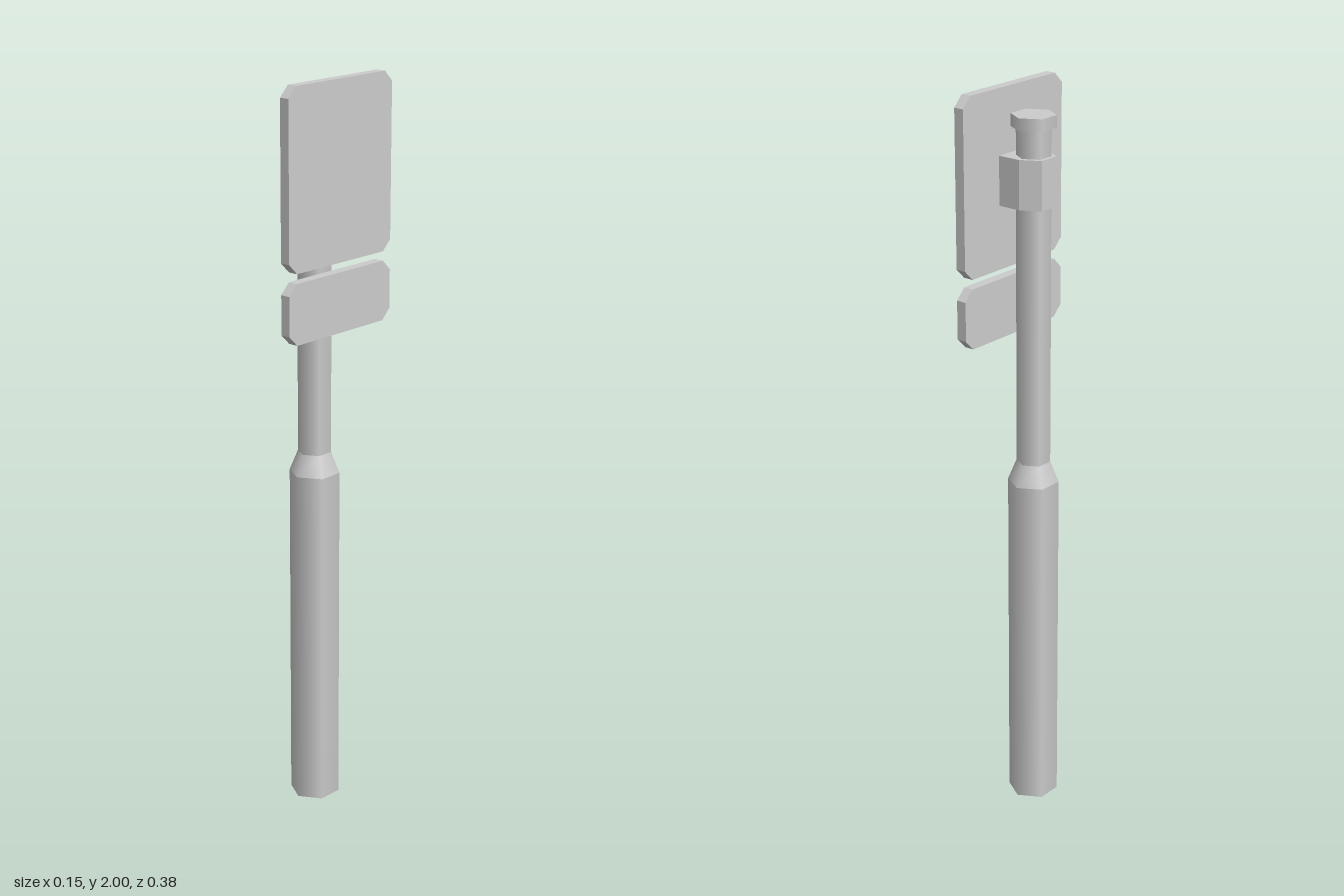
import * as THREE from 'three';

const POLE_X = -0.017;
const material = new THREE.MeshStandardMaterial({ color: 0xcccccc });
const openMaterial = new THREE.MeshStandardMaterial({ color: 0xcccccc, side: THREE.DoubleSide });

export function createModel() {
  const group = new THREE.Group();

  const add = (name, geometry, mat = material) => {
    const mesh = new THREE.Mesh(geometry, mat);
    mesh.name = name;
    group.add(mesh);
    return mesh;
  };

  // Six-sided band between two heights, with corners on the z axis
  const hexBand = (name, y0, y1, r0, r1, open = true) => {
    const geometry = new THREE.CylinderGeometry(r1, r0, y1 - y0, 6, 1, open);
    geometry.translate(POLE_X, (y0 + y1) / 2, 0);
    return add(name, geometry, open ? openMaterial : material);
  };

  // Pole: wide open-bottomed base, tapered collar, slim shaft, capped top
  hexBand('poleBase', 0, 0.95, 0.068, 0.068);
  hexBand('poleCollar', 0.95, 1.007, 0.068, 0.045);
  hexBand('poleShaft', 1.007, 1.905, 0.045, 0.045);
  hexBand('poleCap', 1.903, 1.935, 0.058, 0.058, false);

  // Clamp: half hexagon around the shaft, squared off toward the panels
  const clampShape = new THREE.Shape([
    [-0.067, -0.029], [POLE_X, -0.057], [0.047, -0.057],
    [0.047, 0.057], [POLE_X, 0.057], [-0.067, 0.029],
  ].map(([x, z]) => new THREE.Vector2(x, z)));
  const clamp = new THREE.ExtrudeGeometry(clampShape, { depth: 0.128, bevelEnabled: false });
  clamp.rotateX(-Math.PI / 2).translate(0, 1.703, 0);
  add('clamp', clamp);

  // Panels: thin plates with cut corners, facing +x
  const panel = (name, y0, y1) => {
    const w = 0.19, c = 0.028;
    const shape = new THREE.Shape([
      [-w + c, y0], [w - c, y0], [w, y0 + c], [w, y1 - c],
      [w - c, y1], [-w + c, y1], [-w, y1 - c], [-w, y0 + c],
    ].map(([z, y]) => new THREE.Vector2(z, y)));
    const geometry = new THREE.ExtrudeGeometry(shape, { depth: 0.028, bevelEnabled: false });
    geometry.rotateY(Math.PI / 2).translate(0.047, 0, 0);
    add(name, geometry);
  };
  panel('upperPanel', 1.535, 2);
  panel('lowerPanel', 1.35, 1.51);

  return group;
}
